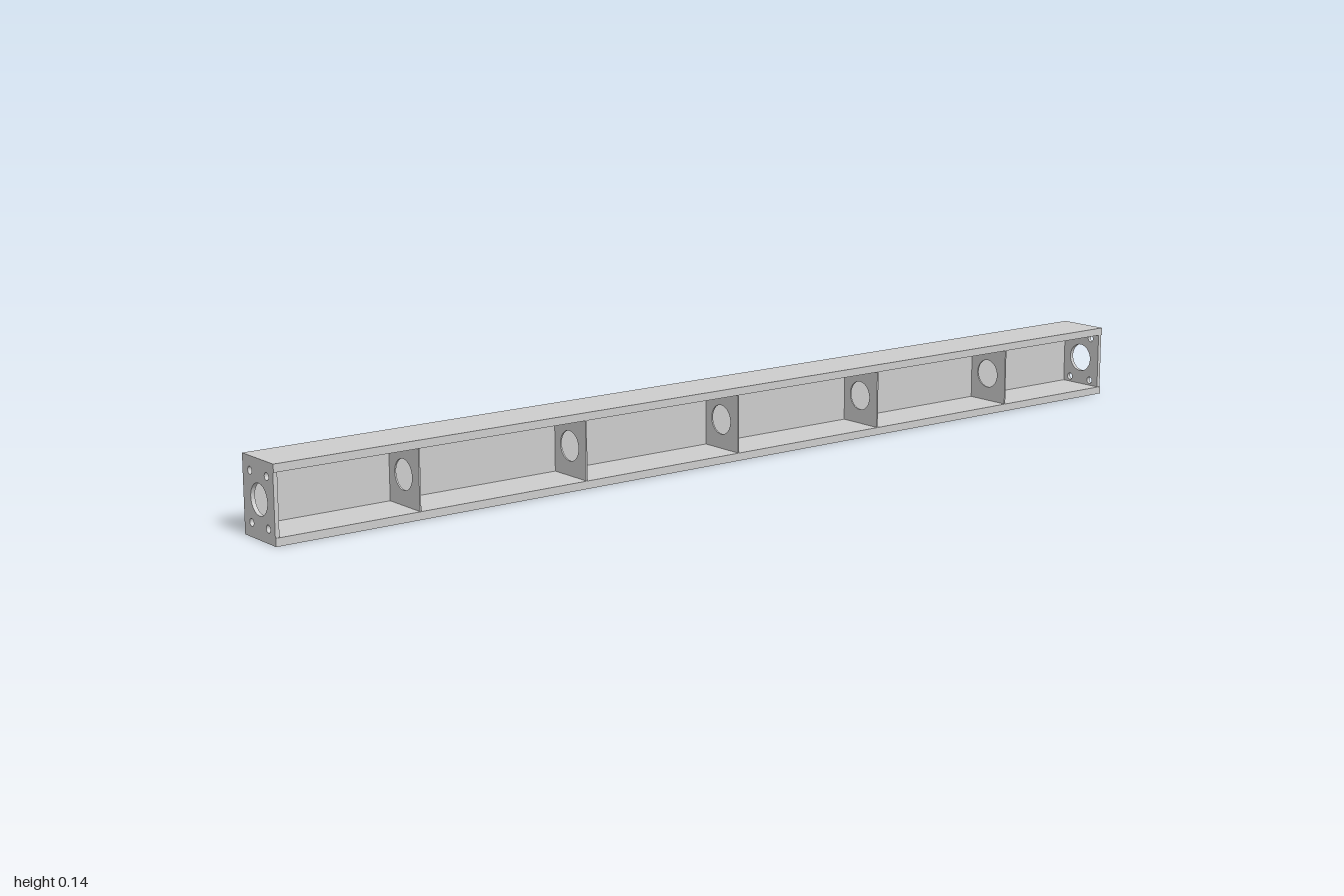
import * as THREE from 'three';

const H = 0.143, D = 0.107, WALL = 0.015, BACK = 0.007, END = 0.008, RIB = 0.003;
const MID = H / 2;

export function createModel() {
  const group = new THREE.Group();
  group.name = 'beam';
  const material = new THREE.MeshStandardMaterial({ color: 0xcccccc });

  // Extrudes a cross-section (x = -z of the model, y up) along the beam, centred on x
  const addSection = (name, shape, length, x) => {
    const geometry = new THREE.ExtrudeGeometry(shape, { depth: length, bevelEnabled: false, curveSegments: 32 });
    geometry.translate(0, 0, -length / 2).rotateY(Math.PI / 2);
    const mesh = new THREE.Mesh(geometry, material);
    mesh.name = name;
    mesh.position.x = x;
    group.add(mesh);
  };

  const polygon = (points) => new THREE.Shape(points.map(([z, y]) => new THREE.Vector2(-z, y)));

  const addHole = (shape, z, y, r) => {
    const hole = new THREE.Path();
    hole.absarc(-z, y, r, 0, Math.PI * 2, true);
    shape.holes.push(hole);
  };

  // Plate that fills the channel, with the large middle hole
  const plateShape = () => {
    const front = D / 2 - 0.002, back = -D / 2 + BACK;
    const shape = polygon([[front, WALL], [back, WALL], [back, H - WALL], [front, H - WALL]]);
    addHole(shape, 0, MID, 0.0286);
    return shape;
  };

  // Channel open towards the front
  const f = D / 2, b = -D / 2;
  addSection('channel', polygon([
    [f, 0], [b, 0], [b, H], [f, H],
    [f, H - WALL], [b + BACK, H - WALL], [b + BACK, WALL], [f, WALL],
  ]), 2, 0);

  // End plates with four bolt holes
  for (const side of [-1, 1]) {
    const shape = plateShape();
    for (const z of [-0.0286, 0.0286])
      for (const dy of [-0.0455, 0.0455]) addHole(shape, z, MID + dy, 0.007);
    addSection(side > 0 ? 'leftEndPlate' : 'rightEndPlate', shape, END, side * (1 - END / 2));
  }

  // Evenly spaced inner ribs
  for (let i = -2; i <= 2; i++) addSection('rib' + (i + 3), plateShape(), RIB, i * 0.357);

  return group;
}
